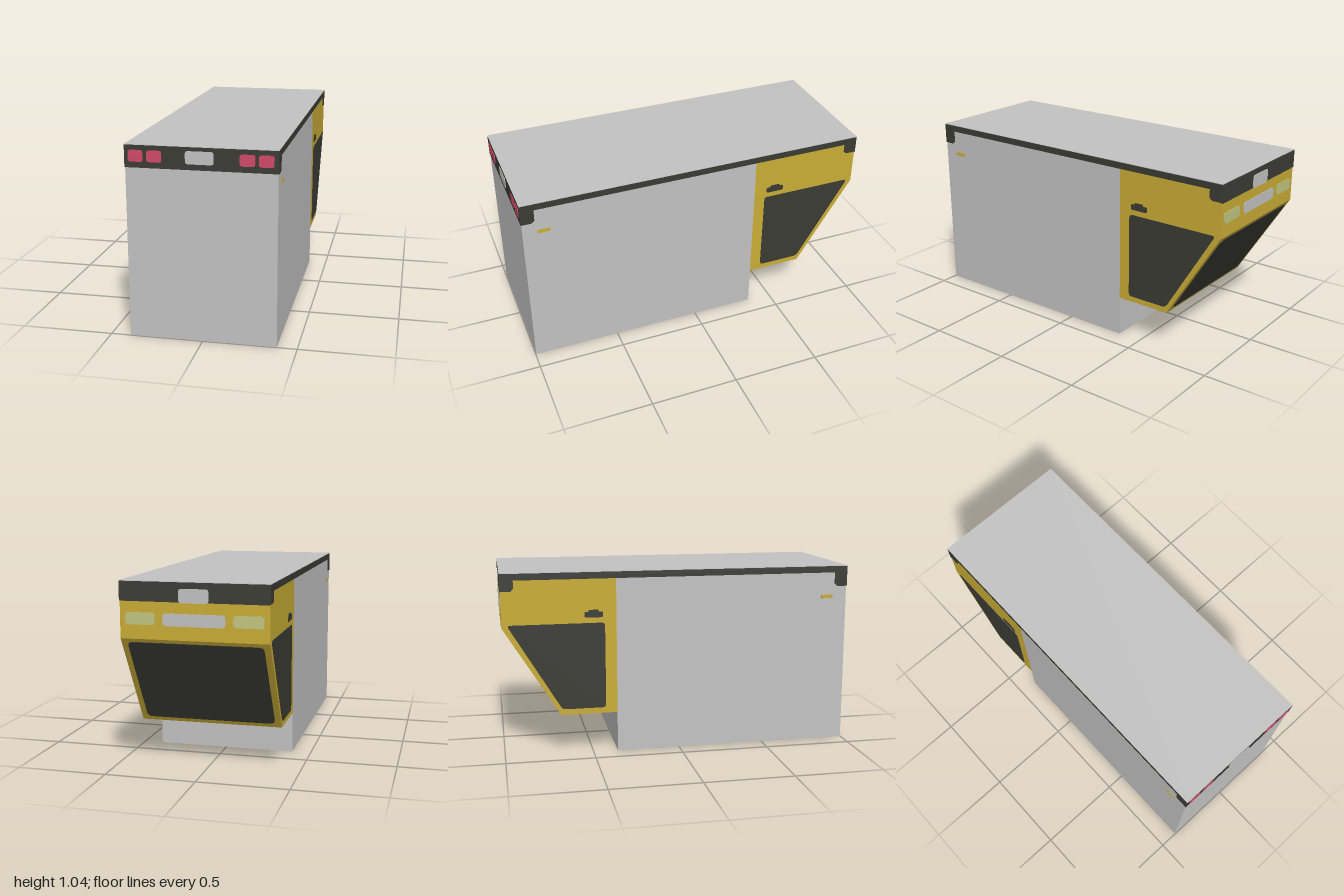
import * as THREE from 'three';

const mat = (name, color) => {
  const m = new THREE.MeshStandardMaterial({ color });
  m.name = name;
  return m;
};

// Closed shape through the points, with every corner rounded by radius r
function roundedShape(pts, r) {
  const v = pts.map(p => new THREE.Vector2(...p));
  const s = new THREE.Shape();
  v.forEach((p, i) => {
    const toward = q => p.clone().add(q.clone().sub(p).setLength(r));
    const a = toward(v[(i + v.length - 1) % v.length]);
    const b = toward(v[(i + 1) % v.length]);
    if (i === 0) s.moveTo(a.x, a.y); else s.lineTo(a.x, a.y);
    if (r > 0) s.quadraticCurveTo(p.x, p.y, b.x, b.y);
  });
  s.closePath();
  return s;
}
const rect = (x0, x1, y0, y1) => [[x0, y0], [x1, y0], [x1, y1], [x0, y1]];

export function createModel() {
  const grey = mat('bodyGrey', 0xc2c2c2);
  const yellow = mat('cabYellow', 0xc9ac35);
  const dark = mat('trimDark', 0x3b3b35);
  const red = mat('lampRed', 0xd04868);
  const green = mat('lampPaleGreen', 0xc1c580);

  const W = 0.393, L = 0.997, H = 1.04, T = 0.003;
  const model = new THREE.Group();

  const box = (name, material, x0, x1, y0, y1, z0, z1) => {
    const m = new THREE.Mesh(new THREE.BoxGeometry(x1 - x0, y1 - y0, z1 - z0), material);
    m.position.set((x0 + x1) / 2, (y0 + y1) / 2, (z0 + z1) / 2);
    m.name = name;
    model.add(m);
  };
  // Thin plate lying on the local xy plane of its parent
  const plate = (parent, name, material, pts, r = 0, z = 0) => {
    const g = new THREE.ExtrudeGeometry(roundedShape(pts, r),
      { depth: T, bevelEnabled: false, curveSegments: 4 });
    const m = new THREE.Mesh(g, material);
    m.position.z = z;
    m.name = name;
    parent.add(m);
  };
  const face = name => {
    const g = new THREE.Group();
    g.name = name;
    model.add(g);
    return g;
  };

  // Main hull and the thin panel covering the whole top
  box('cargoBody', grey, -W, W, 0, H - T, -0.36, L);
  box('topPanel', grey, -W - T, W + T, H - T, H, -1, 1);

  // Cab: side profile (-z, y) extruded across the width
  const cabShape = roundedShape(
    [[0.36, 0.23], [0.68, 0.23], [L, 0.74], [L, H - T], [0.36, H - T]], 0);
  const cabGeo = new THREE.ExtrudeGeometry(cabShape, { depth: 2 * W, bevelEnabled: false });
  cabGeo.translate(0, 0, -W);
  cabGeo.rotateY(Math.PI / 2);
  const cab = new THREE.Mesh(cabGeo, yellow);
  cab.name = 'cab';
  model.add(cab);

  // Both sides: sill with bumper ends, window, handle, marker
  for (const s of [1, -1]) {
    const side = face(s > 0 ? 'leftSide' : 'rightSide');
    side.position.x = s * W;
    side.rotation.y = s * Math.PI / 2;
    const map = pts => pts.map(([z, y]) => [-s * z, y]);
    plate(side, 'sill', dark, map(rect(-1, 1, 1.0, H - T)));
    plate(side, 'frontBumperEnd', dark, map([[1, 1], [0.925, 1], [0.925, 0.935], [0.94, 0.92], [1, 0.92]]));
    plate(side, 'backBumperEnd', dark, map([[-1, 1], [-0.925, 1], [-0.925, 0.955], [-0.94, 0.94], [-1, 0.94]]));
    plate(side, 'sideWindow', dark,
      map([[-0.425, 0.752], [-0.967, 0.752], [-0.672, 0.263], [-0.425, 0.263]]), 0.02);
    plate(side, 'doorHandle', dark, map(rect(-0.54, -0.435, 0.783, 0.815)), 0.01);
    plate(side, 'doorHandleGrip', dark, map(rect(-0.515, -0.46, 0.81, 0.826)), 0.005);
    plate(side, 'sideMarker', yellow, map(rect(0.845, 0.915, 0.85, 0.87)));
  }

  // Front face: bumper, lamps, plate
  const front = face('frontFace');
  front.position.z = L;
  plate(front, 'frontBumper', dark, rect(-W - T, W + T, 0.92, H - T));
  for (const x of [-0.3375, -0.24, 0.238, 0.334])
    plate(front, 'redLamp', red, rect(x - 0.039, x + 0.039, 0.951, 1.012), 0.015, T);
  plate(front, 'frontPlate', grey, rect(-0.079, 0.068, 0.95, 1.017), 0.015, T);

  // Back face: bumper, plate, grille, lamps
  const back = face('backFace');
  back.position.z = -L;
  back.rotation.y = Math.PI;
  plate(back, 'backBumper', dark, rect(-W - T, W + T, 0.935, H - T));
  plate(back, 'backPlate', grey, rect(-0.079, 0.079, 0.932, 1.005), 0.018, T);
  plate(back, 'grille', grey, rect(-0.165, 0.165, 0.812, 0.877), 0.02);
  for (const s of [1, -1])
    plate(back, 'paleLamp', green, rect(s * 0.285 - 0.08, s * 0.285 + 0.08, 0.815, 0.878), 0.02);

  // Sloped windscreen
  const slope = face('windscreenFace');
  const up = new THREE.Vector3(0, 0.51, -(L - 0.68));
  const len = up.length();
  up.normalize();
  const right = new THREE.Vector3(-1, 0, 0);
  const out = new THREE.Vector3().crossVectors(right, up);
  slope.quaternion.setFromRotationMatrix(new THREE.Matrix4().makeBasis(right, up, out));
  slope.position.set(0, 0.23, -0.68);
  plate(slope, 'windscreen', dark, rect(-0.36, 0.36, 0.028, len - 0.022), 0.03);

  return model;
}
